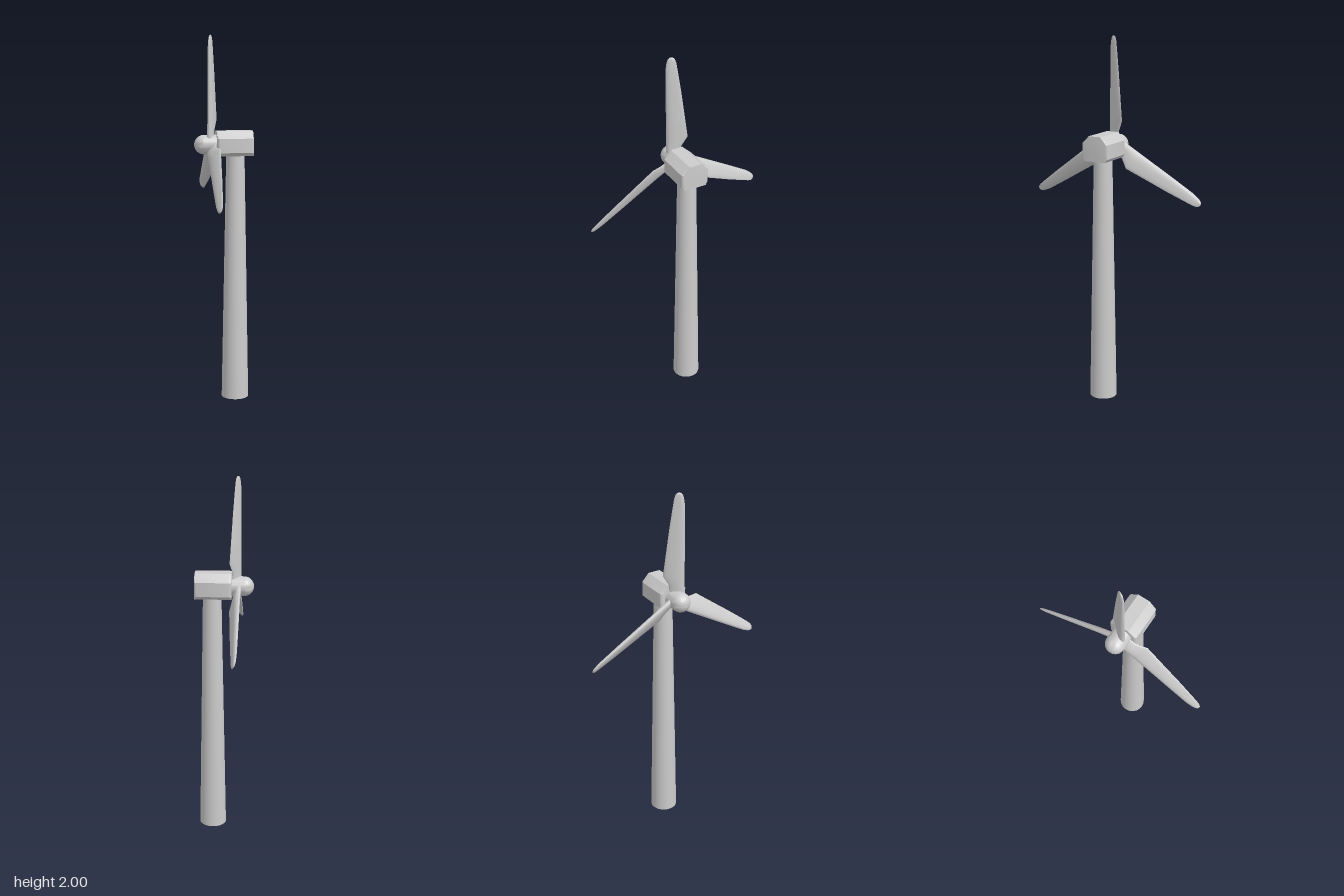
import * as THREE from 'three';
import { toCreasedNormals } from 'three/addons/utils/BufferGeometryUtils.js';

const material = new THREE.MeshStandardMaterial({ color: 0xcccccc });
const openMaterial = new THREE.MeshStandardMaterial({ color: 0xcccccc, side: THREE.DoubleSide });
const HUB_Y = 1.415, HUB_Z = -0.002;

// Skin closed loops of [x, y, z] points, with a fan cap at both ends
function loft(loops, crease) {
  const n = loops[0].length, last = loops.length - 1;
  const points = loops.flat(), index = [];
  const centre = loop => [0, 1, 2].map(k => loop.reduce((sum, p) => sum + p[k], 0) / n);
  const c0 = points.length, c1 = c0 + 1;
  points.push(centre(loops[0]), centre(loops[last]));
  for (let j = 0; j < n; j++) {
    const k = (j + 1) % n;
    for (let i = 0; i < last; i++) {
      const a = i * n + j, b = i * n + k;
      index.push(a, b, b + n, a, b + n, a + n);
    }
    index.push(c0, k, j, c1, last * n + j, last * n + k);
  }
  const geometry = new THREE.BufferGeometry();
  geometry.setAttribute('position', new THREE.Float32BufferAttribute(points.flat(), 3));
  geometry.setIndex(index);
  return toCreasedNormals(geometry, crease);
}

function addMesh(parent, name, geometry, mat = material) {
  const mesh = new THREE.Mesh(geometry, mat);
  mesh.name = name;
  parent.add(mesh);
  return mesh;
}

// Bevelled housing whose upright corners are rounded in plan
function nacelleGeometry() {
  const profile = [[0.075, -0.035], [0.075, 0.035], [0.035, 0.079], [-0.042, 0.079],
    [-0.06, 0.062], [-0.06, -0.062], [-0.042, -0.079], [0.035, -0.079]];
  const x0 = -0.041, x1 = 0.157, r = 0.014, stations = [];
  for (let i = 0; i <= 4; i++) {
    const a = i / 4 * Math.PI / 2;
    stations.push([x0 + r * (1 - Math.cos(a)), 0.079 - r * (1 - Math.sin(a))]);
  }
  for (const [x, w] of stations.slice().reverse()) stations.push([x0 + x1 - x, w]);
  return loft(stations.map(([x, w]) =>
    profile.map(([y, z]) => [x, y, THREE.MathUtils.clamp(z, -w, w)])), 0.45);
}

// Pitched aerofoil blade, straight along its leading edge
function bladeGeometry() {
  // radius, leading edge, trailing edge, thickness
  const sections = [
    [0.03, 0, 0.078, 0.032], [0.08, 0, 0.081, 0.031], [0.135, 0, 0.113, 0.029],
    [0.25, 0, 0.098, 0.026], [0.4, 0, 0.079, 0.022], [0.52, 0.001, 0.061, 0.017],
    [0.555, 0.006, 0.055, 0.014], [0.573, 0.012, 0.049, 0.011],
    [0.582, 0.019, 0.042, 0.007], [0.585, 0.026, 0.034, 0.003]];
  const pitch = 0.5, cos = Math.cos(pitch), sin = Math.sin(pitch), sides = 20;
  return loft(sections.map(([y, lead, trail, thick]) =>
    Array.from({ length: sides }, (_, j) => {
      const t = j / sides * Math.PI * 2, u = (1 - Math.cos(t)) / 2;
      const s = lead + (trail - lead) * u;
      const n = -Math.sin(t) * thick * 0.65 * (1 - 0.6 * u);
      return [-0.086 + s * sin - n * cos, y, 0.038 - s * cos - n * sin];
    })), 0.8);
}

export function createModel() {
  const model = new THREE.Group();
  model.name = 'windTurbine';

  // Tapered tower, open at the foot
  const tower = addMesh(model, 'tower',
    new THREE.CylinderGeometry(0.05, 0.075, 1.37, 32, 1, true), openMaterial);
  tower.position.set(0.065, 0.685, HUB_Z);

  const head = new THREE.Group();
  head.name = 'head';
  head.position.set(0, HUB_Y, HUB_Z);
  model.add(head);
  addMesh(head, 'nacelle', nacelleGeometry());

  // Hub: a dome running into a short cylinder, turned to face -x
  const profile = [new THREE.Vector2(0, -0.035), new THREE.Vector2(0.053, -0.035)];
  for (let i = 0; i <= 12; i++) {
    const a = i / 12 * Math.PI / 2;
    profile.push(new THREE.Vector2(0.053 * Math.cos(a), 0.107 + 0.053 * Math.sin(a)));
  }
  const hub = addMesh(head, 'hub',
    toCreasedNormals(new THREE.LatheGeometry(profile, 32), 0.6));
  hub.rotation.z = Math.PI / 2;

  // Three blades around the hub axis
  const blade = bladeGeometry();
  for (let i = 0; i < 3; i++) {
    addMesh(head, 'blade' + (i + 1), blade).rotation.x = i * Math.PI * 2 / 3;
  }
  return model;
}
